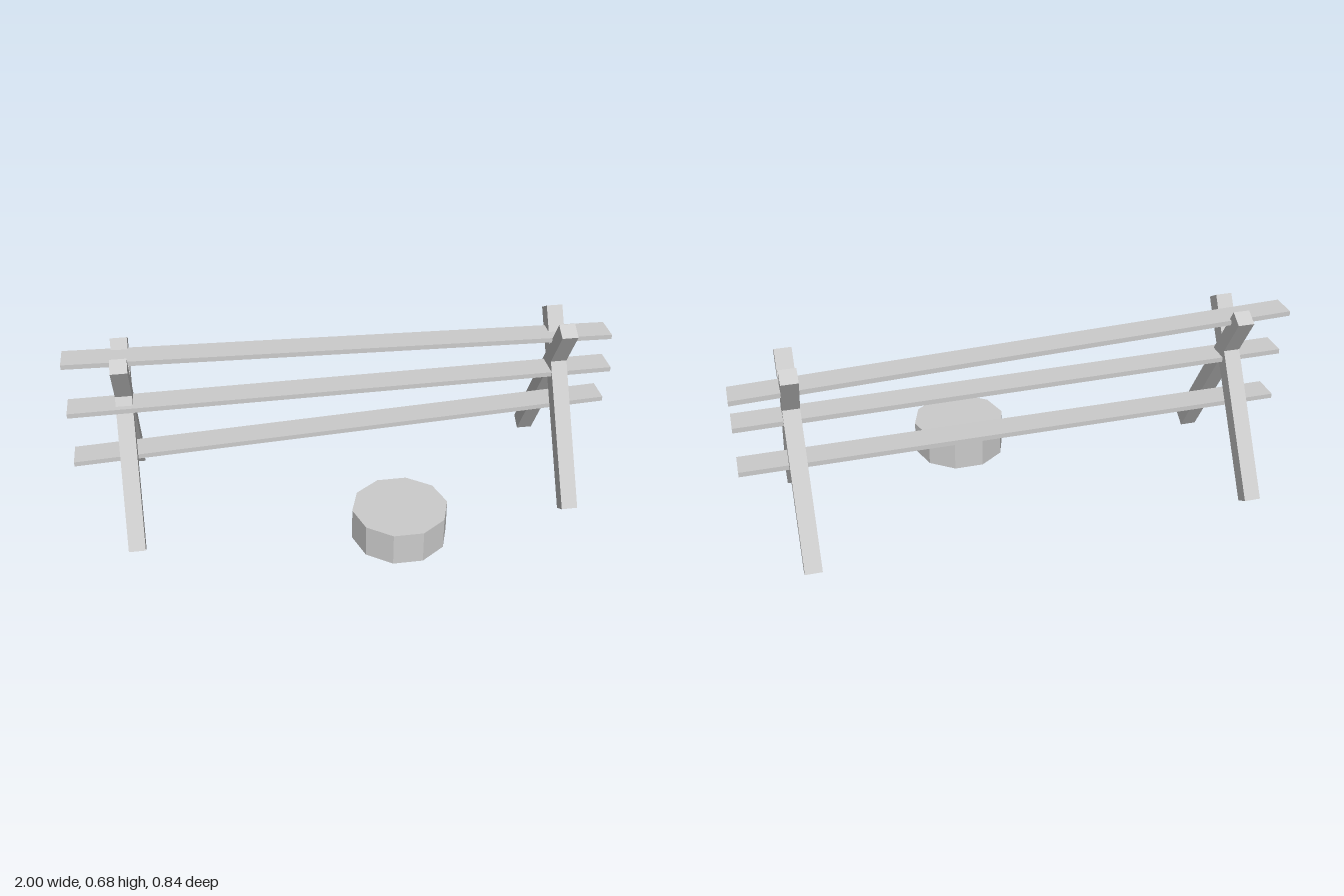
import * as THREE from 'three';

const material = new THREE.MeshStandardMaterial({ color: 0xcccccc, flatShading: true });

function addMesh(parent, name, geometry) {
  const mesh = new THREE.Mesh(geometry, material);
  mesh.name = name;
  parent.add(mesh);
  return mesh;
}

// Square beam running between two points [z, y] in the plane at x
function addLeg(parent, name, x, [z0, y0], [z1, y1]) {
  const length = Math.hypot(z1 - z0, y1 - y0);
  const leg = addMesh(parent, name, new THREE.BoxGeometry(0.06, length, 0.058));
  leg.position.set(x, (y0 + y1) / 2, (z0 + z1) / 2);
  leg.rotation.x = Math.atan2(z1 - z0, y1 - y0);
}

// Plank sheared so its ends stay upright; each end is a centre [y, z]
function addRail(parent, name, [yR, zR], [yL, zL]) {
  const geometry = new THREE.BoxGeometry(2, 0.018, 0.1);
  const p = geometry.attributes.position;
  for (let i = 0; i < p.count; i++) {
    const t = (p.getX(i) + 1) / 2;
    p.setY(i, p.getY(i) + THREE.MathUtils.lerp(yR, yL, t));
    p.setZ(i, p.getZ(i) + THREE.MathUtils.lerp(zR, zL, t));
  }
  geometry.computeVertexNormals();
  addMesh(parent, name, geometry);
}

export function createModel() {
  const model = new THREE.Group();
  model.name = 'railFence';

  // Crossed leg pairs
  for (const [side, x] of [['left', 0.8], ['right', -0.8]]) {
    const trestle = new THREE.Group();
    trestle.name = side + 'Trestle';
    addLeg(trestle, 'frontLeg', x, [0.205, 0.016], [-0.195, 0.665]);
    addLeg(trestle, 'backLeg', x, [-0.395, 0.016], [0.005, 0.665]);
    model.add(trestle);
  }

  // Rails, slightly askew
  addRail(model, 'topRail', [0.641, -0.11], [0.581, -0.123]);
  addRail(model, 'middleRail', [0.465, -0.07], [0.459, -0.093]);
  addRail(model, 'bottomRail', [0.266, -0.058], [0.306, -0.128]);

  // Ten-sided stump in front
  const stump = addMesh(model, 'stump',
    new THREE.CylinderGeometry(0.174, 0.174, 0.124, 10, 1, false, Math.PI / 2));
  stump.position.set(0.146, 0.078, 0.253);

  return model;
}
